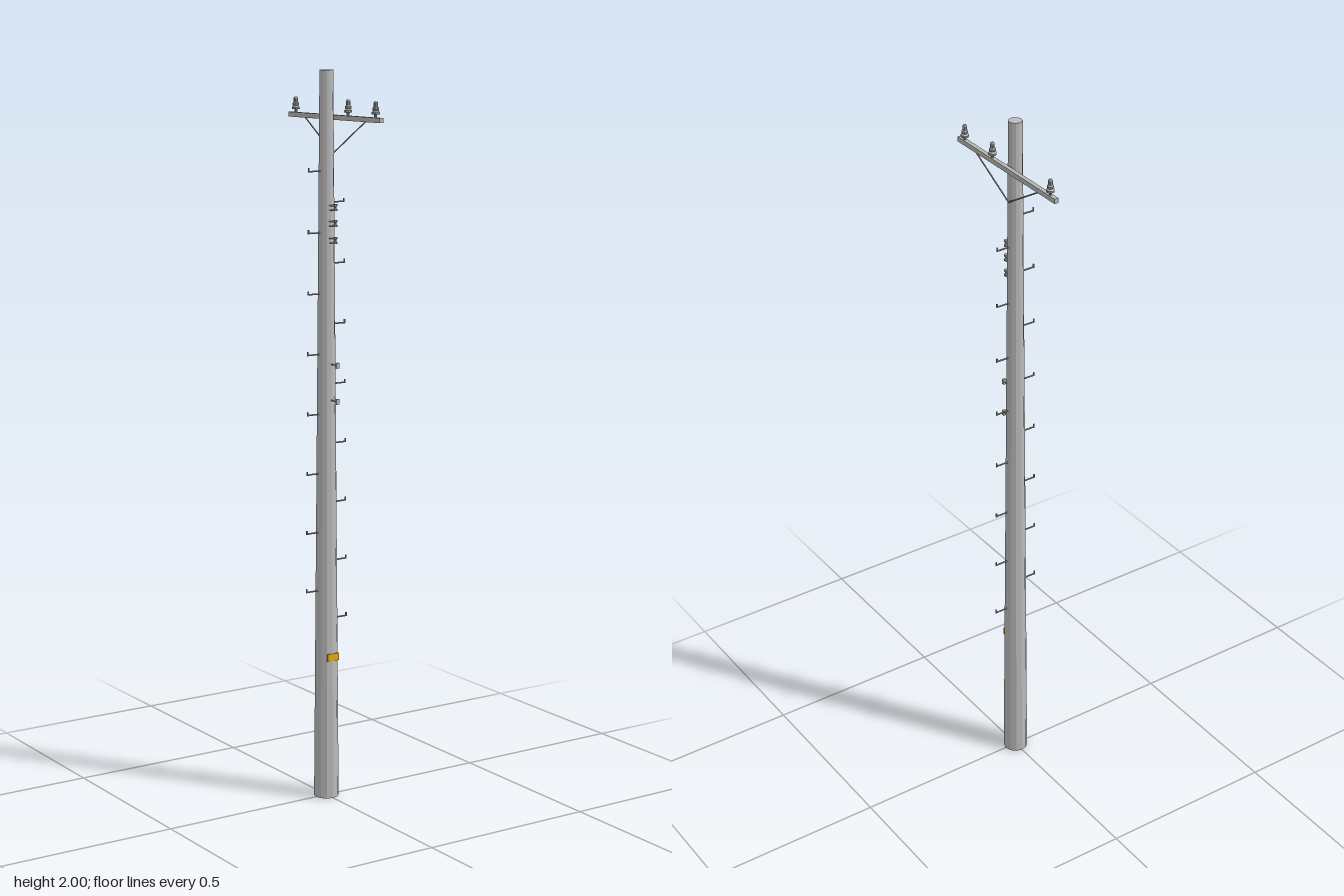
import * as THREE from 'three';

const material = (name, color) => {
  const m = new THREE.MeshStandardMaterial({ color });
  m.name = name;
  return m;
};

export function createModel() {
  const root = new THREE.Group();
  root.name = 'utilityPole';
  const concrete = material('concrete', 0xbababa);
  const steel = material('galvanisedSteel', 0xb6b6b2);
  const darkSteel = material('darkSteel', 0x9c9e9e);
  const ceramic = material('ceramic', 0xa6aaa8);
  const yellow = material('yellowTag', 0xe0aa18);
  concrete.flatShading = true;
  concrete.side = THREE.DoubleSide;
  ceramic.flatShading = true;

  const add = (name, geometry, mat, x = 0, y = 0, z = 0, parent = root) => {
    const mesh = new THREE.Mesh(geometry, mat);
    mesh.name = name;
    mesh.position.set(x, y, z);
    parent.add(mesh);
    return mesh;
  };
  // round bar between two points
  const rod = (name, a, b, r, mat, parent = root) => {
    const from = new THREE.Vector3(...a), to = new THREE.Vector3(...b);
    const mesh = add(name, new THREE.CylinderGeometry(r, r, from.distanceTo(to), 6), mat, 0, 0, 0, parent);
    mesh.position.copy(from).add(to).multiplyScalar(0.5);
    mesh.quaternion.setFromUnitVectors(new THREE.Vector3(0, 1, 0), to.sub(from).normalize());
  };
  const poleRadius = (y) => 0.0343 - 0.008 * y;

  // tapered hollow pole with a closed top
  add('pole', new THREE.CylinderGeometry(0.0183, 0.0343, 2, 12, 1, true), concrete, 0, 1, 0);
  add('poleTop', new THREE.CircleGeometry(0.0183, 12), concrete, 0, 2, 0).rotation.x = -Math.PI / 2;

  // yellow plate on the front
  add('tag', new THREE.BoxGeometry(0.036, 0.02, 0.009), yellow, 0.002, 0.404, 0.0278);

  // crossarm with its diagonal braces
  const armX = 0.027;
  add('crossarm', new THREE.BoxGeometry(0.012, 0.013, 0.434), steel, armX, 1.875, -0.001);
  for (const side of [-1, 1]) {
    rod('brace', [0.021, 1.78, 0], [armX, 1.87, side * 0.145], 0.0019, darkSteel);
  }

  // pin insulators with ribbed skirts
  const insulatorProfile = [
    [0, 0], [0.004, 0], [0.004, 0.008], [0.011, 0.009], [0.011, 0.014],
    [0.007, 0.018], [0.009, 0.02], [0.009, 0.025], [0.006, 0.028],
    [0.006, 0.039], [0.004, 0.042], [0, 0.042],
  ].map(([x, y]) => new THREE.Vector2(x, y));
  for (const z of [-0.191, 0.063, 0.19]) {
    add('insulator', new THREE.LatheGeometry(insulatorProfile, 10), ceramic, armX, 1.881, z);
  }

  // climbing steps, staggered on both sides, with upturned tips
  for (const side of [-1, 1]) {
    for (let i = 0; i < 8; i++) {
      const y = (side > 0 ? 0.507 : 0.59) + i * 0.1635;
      const step = new THREE.Group();
      step.name = side > 0 ? 'leftStep' : 'rightStep';
      const base = poleRadius(y), tip = base + 0.035;
      rod('stepBar', [side * (base - 0.005), y, 0], [side * tip, y, 0], 0.0022, darkSteel, step);
      rod('stepTip', [side * tip, y - 0.002, 0], [side * tip, y + 0.009, 0], 0.0022, darkSteel, step);
      root.add(step);
    }
  }

  // low-voltage spool brackets on the front
  const spoolProfile = [
    [0, -0.009], [0.006, -0.009], [0.006, -0.004], [0.0035, -0.002],
    [0.0035, 0.002], [0.006, 0.004], [0.006, 0.009], [0, 0.009],
  ].map(([x, y]) => new THREE.Vector2(x, y));
  for (const y of [1.64, 1.598, 1.553]) {
    const bracket = new THREE.Group();
    bracket.name = 'spoolBracket';
    add('spool', new THREE.LatheGeometry(spoolProfile, 8), ceramic, 0, y, 0.042, bracket);
    for (const dy of [-0.008, 0.004]) {
      add('strap', new THREE.BoxGeometry(0.009, 0.002, 0.028), steel, 0, y + dy, 0.031, bracket);
    }
    root.add(bracket);
  }

  // cable hooks lower on the front
  for (const y of [1.218, 1.12]) {
    const hook = new THREE.Group();
    hook.name = 'cableHook';
    rod('hookBar', [0, y, 0.02], [0, y, 0.052], 0.002, steel, hook);
    add('clamp', new THREE.BoxGeometry(0.009, 0.015, 0.007), steel, 0, y, 0.053, hook);
    root.add(hook);
  }
  return root;
}
